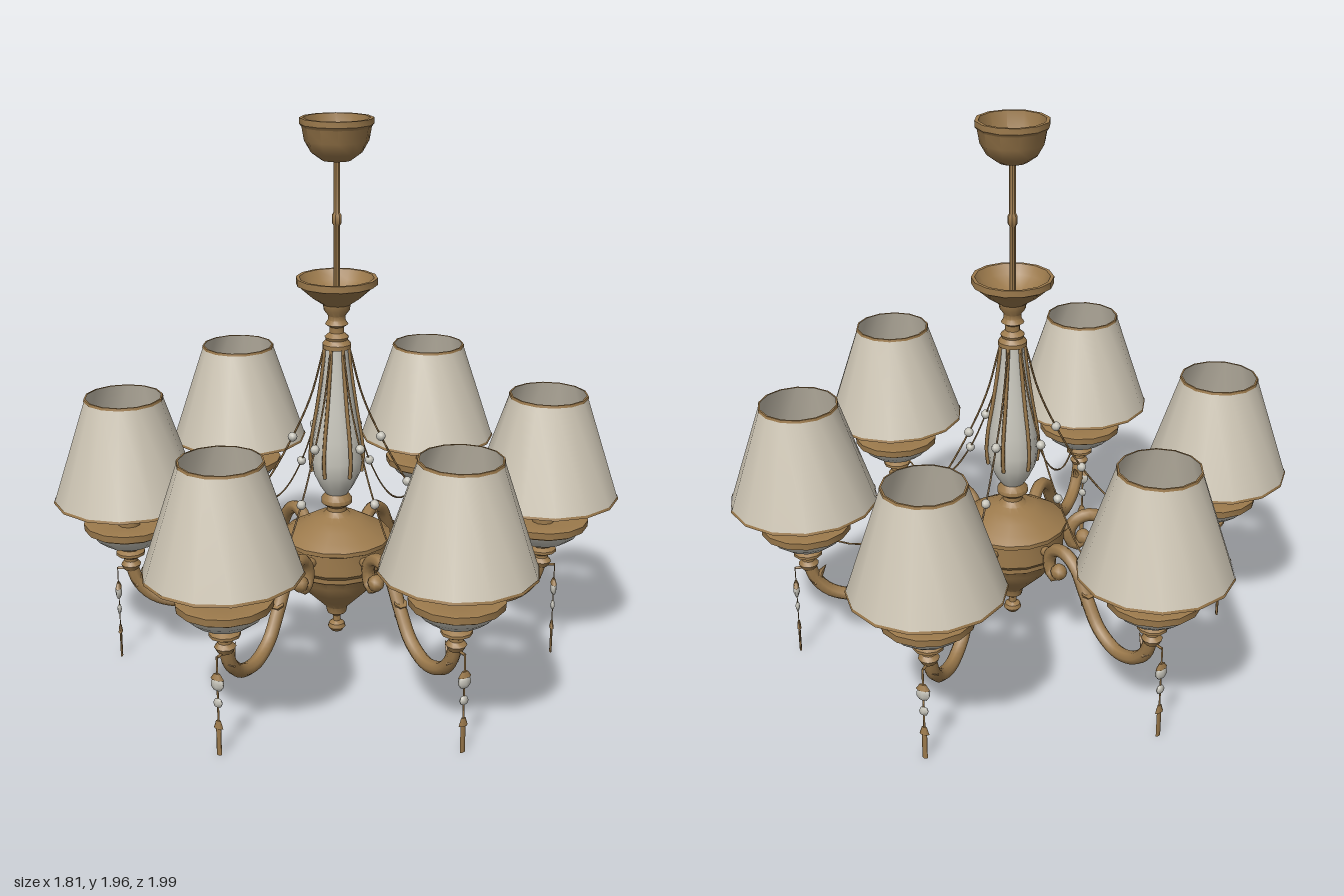
import * as THREE from 'three';
import { toCreasedNormals } from 'three/addons/utils/BufferGeometryUtils.js';

const flat = (name, color) => {
  const m = new THREE.MeshStandardMaterial({ color, side: THREE.DoubleSide });
  m.name = name;
  return m;
};

export function createModel() {
  const brass = flat('antique brass', 0x9c7a4c);
  const fabric = flat('shade fabric', 0xcdc5b4);
  const glass = flat('milky glass', 0xc6c4ba);

  const add = (parent, name, geometry, material, x = 0, y = 0, z = 0) => {
    const mesh = new THREE.Mesh(geometry, material);
    mesh.name = name;
    mesh.position.set(x, y, z);
    parent.add(mesh);
    return mesh;
  };
  // Turned part from [radius, height] pairs, bottom to top
  const turned = (parent, name, profile, material, sides = 14, x = 0) => {
    const g = new THREE.LatheGeometry(profile.map(p => new THREE.Vector2(p[0], p[1])), sides);
    return add(parent, name, toCreasedNormals(g, 0.65), material, x);
  };
  // Curve in the radial plane from [radius, height] pairs
  const curve = pts => new THREE.CatmullRomCurve3(pts.map(p => new THREE.Vector3(p[0], p[1], 0)));
  const tube = (parent, name, path, radius, steps, sides, material) =>
    add(parent, name, new THREE.TubeGeometry(path, steps, radius, sides), material);

  const model = new THREE.Group();
  model.name = 'chandelier';

  // Ceiling cup, rod and upper dish
  turned(model, 'ceilingCup', [[0, 1.815], [0.05, 1.82], [0.085, 1.845], [0.108, 1.885],
    [0.116, 1.93], [0.124, 1.94], [0.124, 1.96], [0.112, 1.96], [0.1, 1.89], [0.06, 1.84], [0, 1.83]], brass, 12);
  turned(model, 'rod', [[0.011, 1.33], [0.011, 1.6], [0.017, 1.61], [0.017, 1.635], [0.011, 1.645], [0.011, 1.83]], brass, 8);
  turned(model, 'upperDish', [[0.03, 1.17], [0.05, 1.175], [0.05, 1.19], [0.038, 1.205], [0.042, 1.215],
    [0.025, 1.23], [0.025, 1.25], [0.04, 1.26], [0.03, 1.275], [0.03, 1.29], [0.045, 1.31], [0.048, 1.33],
    [0.085, 1.355], [0.13, 1.395], [0.14, 1.4], [0.14, 1.423], [0.128, 1.423], [0.11, 1.39], [0.05, 1.35], [0, 1.345]], brass);

  // Glass column and body below it
  const vase = [[0.04, 0.64], [0.06, 0.67], [0.084, 0.72], [0.09, 0.77], [0.084, 0.85],
    [0.067, 0.95], [0.052, 1.05], [0.042, 1.13], [0.038, 1.18]];
  turned(model, 'glassColumn', vase, glass);
  turned(model, 'body', [[0, 0.095], [0.02, 0.1], [0.032, 0.115], [0.028, 0.13], [0.014, 0.14],
    [0.014, 0.16], [0.035, 0.175], [0.04, 0.2], [0.075, 0.235], [0.12, 0.28], [0.15, 0.325], [0.16, 0.35],
    [0.172, 0.358], [0.172, 0.375], [0.185, 0.39], [0.185, 0.465], [0.195, 0.47], [0.195, 0.485],
    [0.165, 0.505], [0.12, 0.53], [0.085, 0.55], [0.05, 0.558], [0.035, 0.575], [0.035, 0.59],
    [0.055, 0.605], [0.055, 0.62], [0.04, 0.64], [0, 0.642]], brass, 16);

  const R = 0.74;
  const armPath = curve([[0.262, 0.395], [0.25, 0.365], [0.222, 0.37], [0.21, 0.42], [0.235, 0.465],
    [0.285, 0.482], [0.35, 0.45], [0.41, 0.36], [0.48, 0.265], [0.57, 0.225], [0.66, 0.245], [0.715, 0.3], [R, 0.375]]);
  const chainPath = curve([[0.045, 1.17], [0.09, 1.0], [0.155, 0.85], [0.25, 0.68], [0.36, 0.54],
    [0.46, 0.46], [0.56, 0.43], [0.66, 0.46]]);
  const ribPath = curve(vase.slice(2).map(([r, y]) => [r + 0.003, y]));

  for (let i = 0; i < 6; i++) {
    const arm = new THREE.Group();
    arm.name = 'armAssembly' + (i + 1);
    arm.rotation.y = -THREE.MathUtils.degToRad(31.2 + 60 * i);
    model.add(arm);

    // Scrolled arm, its leaves and its fixing
    tube(arm, 'scrollArm', armPath, 0.024, 40, 7, brass);
    add(arm, 'scrollTip', new THREE.SphereGeometry(0.03, 8, 6), brass, 0.262, 0.39);
    const fixing = add(arm, 'armFixing', new THREE.CylinderGeometry(0.018, 0.018, 0.06, 8), brass, 0.2, 0.44);
    fixing.rotation.z = Math.PI / 2;
    for (const [x, y, turn] of [[0.4, 0.345, 2.7], [0.7, 0.325, 0.6]]) {
      const leaf = add(arm, 'armLeaf', new THREE.ConeGeometry(0.025, 0.08, 6), brass, x, y);
      leaf.rotation.z = turn;
    }

    // Drip dish and candle
    turned(arm, 'dishStem', [[0, 0.345], [0.025, 0.35], [0.036, 0.37], [0.024, 0.385], [0.024, 0.395],
      [0.052, 0.41], [0.052, 0.42], [0.035, 0.43], [0.06, 0.445]], brass, 10, R);
    turned(arm, 'glassDish', [[0.05, 0.44], [0.09, 0.458], [0.125, 0.485], [0.142, 0.51]], glass, 14, R);
    turned(arm, 'dishRim', [[0.14, 0.505], [0.158, 0.515], [0.16, 0.54], [0.15, 0.543], [0.04, 0.525], [0, 0.525]], brass, 14, R);
    turned(arm, 'candle', [[0.04, 0.525], [0.04, 0.77], [0, 0.77]], brass, 10, R);
    add(arm, 'bulb', new THREE.SphereGeometry(0.05, 12, 8), glass, R, 0.81);

    // Lampshade with thin trims
    turned(arm, 'lampshade', [[0.257, 0.632], [0.135, 1.0]], fabric, 14, R);
    turned(arm, 'lowerTrim', [[0.26, 0.63], [0.257, 0.639]], brass, 14, R);
    turned(arm, 'upperTrim', [[0.139, 0.994], [0.137, 1.003], [0.131, 1.003]], brass, 14, R);

    // Column rib and hanging chain with beads
    tube(arm, 'columnRib', ribPath, 0.007, 14, 5, brass);
    tube(arm, 'chain', chainPath, 0.0035, 28, 4, brass);
    for (const [x, y] of [[0.155, 0.85], [0.25, 0.68]])
      add(arm, 'chainBead', new THREE.SphereGeometry(0.017, 8, 6), glass, x, y);

    // Pendant of flattened drops
    const drop = new THREE.Group();
    drop.name = 'pendant';
    drop.position.x = 0.79;
    drop.scale.x = 0.45;
    arm.add(drop);
    const hook = add(drop, 'pendantHook', new THREE.CylinderGeometry(0.005, 0.005, 0.11, 5), brass, -0.06, 0.352);
    hook.rotation.z = Math.PI / 2;
    add(drop, 'pendantWire', new THREE.CylinderGeometry(0.004, 0.004, 0.26, 5), brass, 0, 0.225);
    add(drop, 'pendantCap', new THREE.CylinderGeometry(0.012, 0.026, 0.02, 6), brass, 0, 0.285);
    add(drop, 'upperCrystal', new THREE.SphereGeometry(0.026, 6, 5), glass, 0, 0.258);
    add(drop, 'middleCrystal', new THREE.SphereGeometry(0.018, 6, 4), glass, 0, 0.19);
    add(drop, 'lowerCap', new THREE.CylinderGeometry(0.009, 0.018, 0.028, 6), brass, 0, 0.112);
    add(drop, 'dropRod', new THREE.CylinderGeometry(0.01, 0.01, 0.1, 5), brass, 0, 0.05);
  }
  return model;
}
